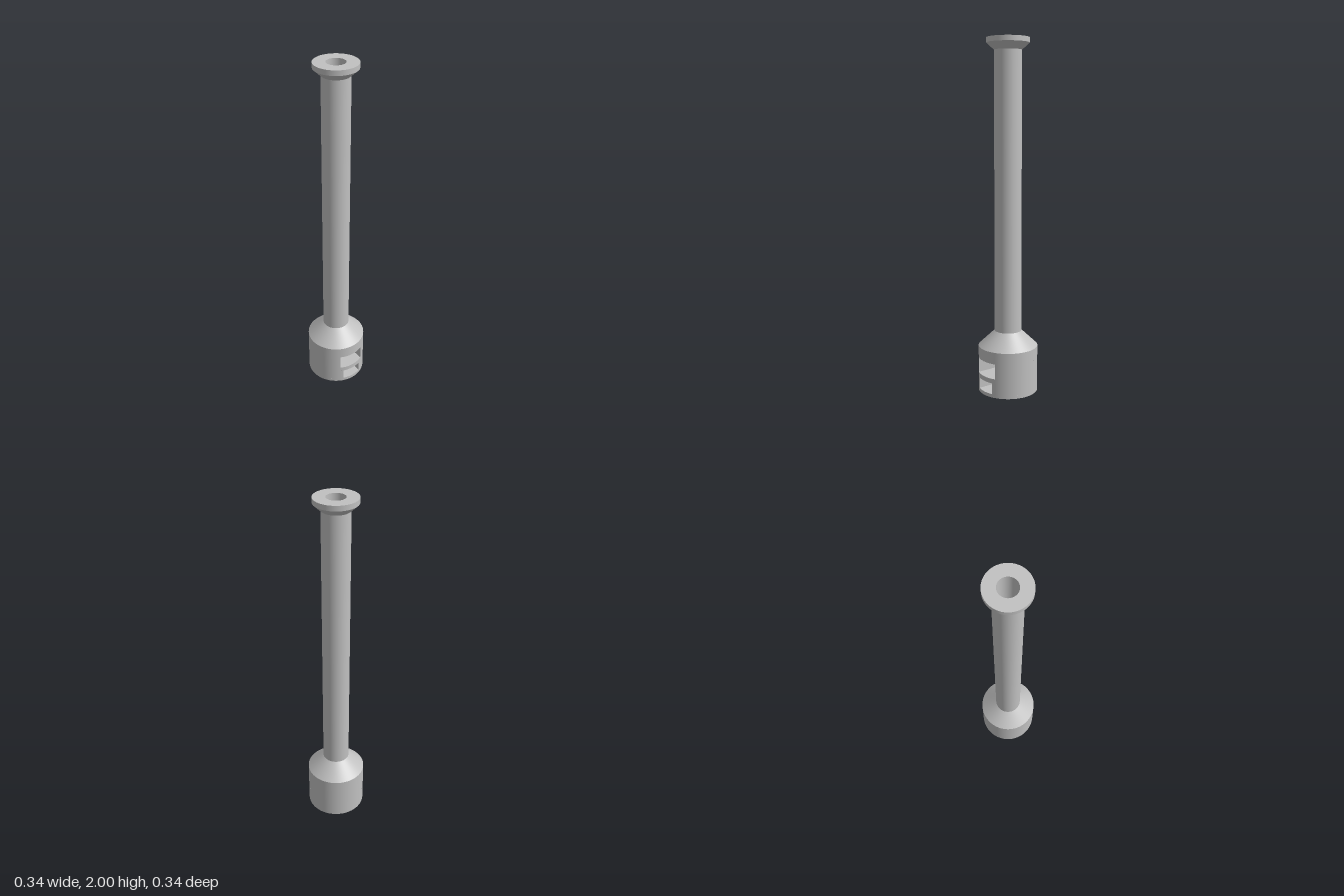
import * as THREE from 'three';
import { mergeGeometries } from 'three/addons/utils/BufferGeometryUtils.js';

const SEG = 96;
const R = 0.17; // base radius
const BORE = 0.052, BOLT = 0.038; // upper and lower hole radii

// Turned surface with a sharp edge at every profile point
function turned(profile) {
  const bands = [];
  for (let i = 0; i < profile.length - 1; i++) {
    const pair = [profile[i], profile[i + 1]].map(([r, y]) => new THREE.Vector2(r, y));
    bands.push(new THREE.LatheGeometry(pair, SEG));
  }
  return mergeGeometries(bands);
}

// Cylindrical skin of the base, leaving a gap of half width w on the +x side
function skin(y0, y1, w = 0) {
  const a = Math.asin(w / R);
  const g = new THREE.CylinderGeometry(R, R, y1 - y0, SEG, 1, true, Math.PI / 2 + a, Math.PI * 2 - 2 * a);
  return g.translate(0, (y0 + y1) / 2, 0);
}

// Side-loading hexagonal pocket: straight walls and a pointed inner end
function pocket(y0, y1, w, floorHole, ceilingHole) {
  const mouth = Math.sqrt(R * R - w * w);
  const corner = -w * Math.tan(Math.PI / 6), tip = -w / Math.cos(Math.PI / 6);
  const path = [[mouth, w], [corner, w], [tip, 0], [corner, -w], [mouth, -w]];

  const parts = [];
  for (let i = 0; i < path.length - 1; i++) {
    const [ax, az] = path[i], [bx, bz] = path[i + 1];
    const wall = new THREE.PlaneGeometry(Math.hypot(bx - ax, bz - az), y1 - y0);
    wall.rotateY(Math.atan2(az - bz, bx - ax));
    wall.translate((ax + bx) / 2, (y0 + y1) / 2, (az + bz) / 2);
    parts.push(wall);
  }

  const level = (y, hole, turn) => {
    const a = Math.asin(w / R);
    const s = new THREE.Shape();
    s.moveTo(mouth, w);
    s.lineTo(corner, w);
    s.lineTo(tip, 0);
    s.lineTo(corner, -w);
    s.lineTo(mouth, -w);
    s.absarc(0, 0, R, -a, a, false);
    if (hole) s.holes.push(new THREE.Path().absarc(0, 0, hole, 0, Math.PI * 2, true));
    return new THREE.ShapeGeometry(s, 32).rotateX(turn).translate(0, y, 0);
  };
  parts.push(level(y0, floorHole, -Math.PI / 2), level(y1, ceilingHole, Math.PI / 2));
  return mergeGeometries(parts);
}

export function createModel() {
  const group = new THREE.Group();
  const grey = new THREE.MeshStandardMaterial({ color: 0xc0c0c0, side: THREE.DoubleSide });
  grey.name = 'plain grey';
  const add = (name, geometry) => {
    const mesh = new THREE.Mesh(geometry, grey);
    mesh.name = name;
    group.add(mesh);
  };

  const lower = { y0: 0.02, y1: 0.083, w: 0.06 };
  const upper = { y0: 0.11, y1: 0.197, w: 0.077 };

  // Underside with its bolt hole
  add('baseUnderside', turned([[BOLT, lower.y0], [BOLT, 0], [R, 0], [R, lower.y0]]));

  // Base wall, interrupted by the two pockets
  add('baseWall', mergeGeometries([
    skin(lower.y0, lower.y1, lower.w),
    skin(lower.y1, upper.y0),
    skin(upper.y0, upper.y1, upper.w),
    skin(upper.y1, 0.264),
  ]));
  add('lowerNutPocket', pocket(lower.y0, lower.y1, lower.w, BOLT, 0));
  add('upperNutPocket', pocket(upper.y0, upper.y1, upper.w, 0, BORE));

  // Shoulder, shaft, flared head and the long bore
  add('shoulder', turned([[R, 0.264], [0.077, 0.352]]));
  add('shaft', turned([[0.077, 0.352], [0.077, 1.934]]));
  add('head', turned([[0.077, 1.934], [0.119, 1.972], [0.119, 2], [BORE, 2]]));
  add('bore', turned([[BORE, 2], [BORE, upper.y1]]));

  return group;
}
